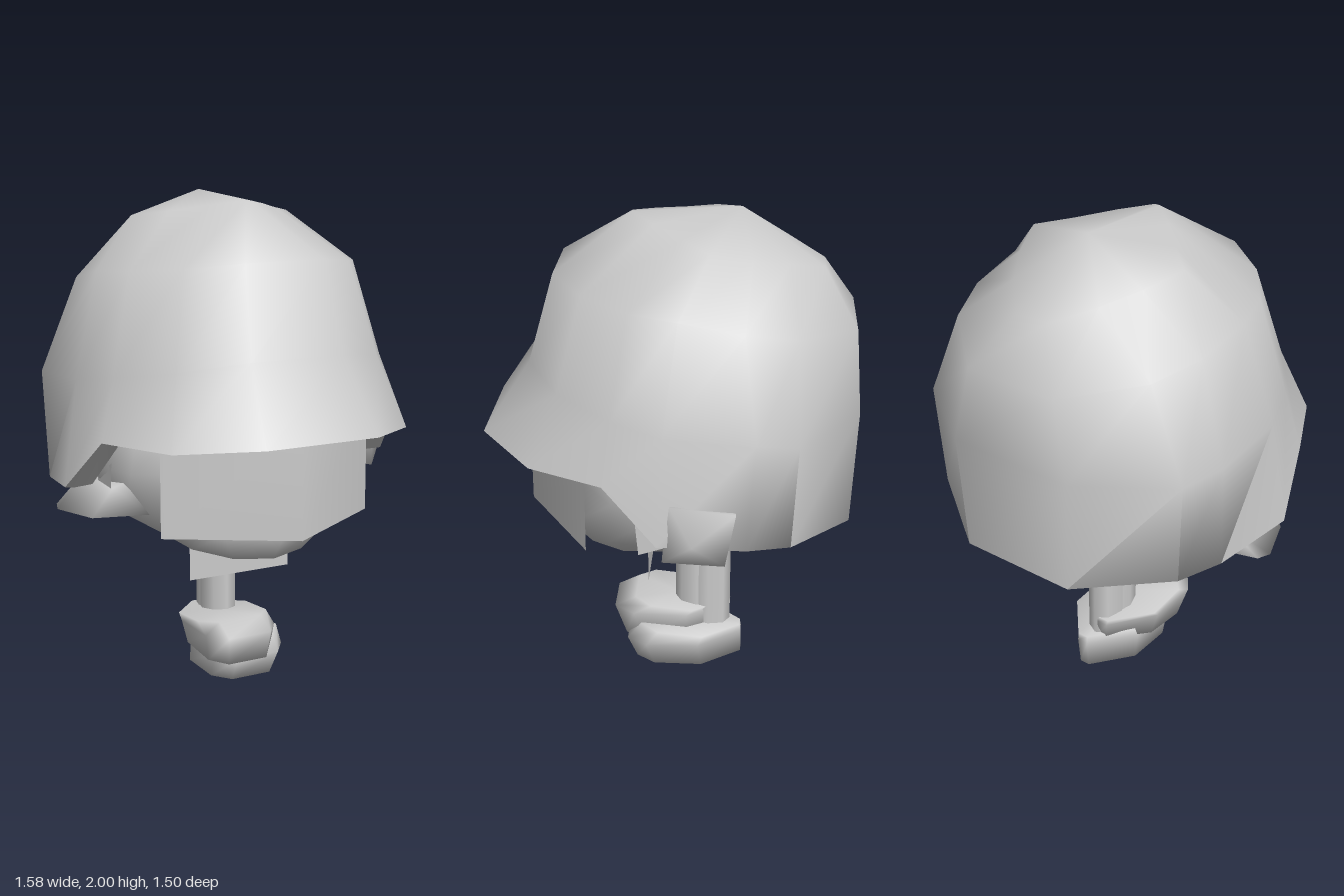
import * as THREE from 'three';
import { toCreasedNormals, mergeVertices } from 'three/addons/utils/BufferGeometryUtils.js';
import { ConvexGeometry } from 'three/addons/geometries/ConvexGeometry.js';

const CX = -0.055; // the body's middle plane
const solid = new THREE.MeshStandardMaterial({ color: 0xcccccc });
const thin = new THREE.MeshStandardMaterial({ color: 0xcccccc, side: THREE.DoubleSide });

// Skins rings of [x, y, z] points, listed bottom to top, and caps them on demand
function loft(rings, bottom, top) {
  const n = rings[0].length, pos = rings.flat(2), index = [];
  for (let i = 0; i < rings.length - 1; i++) {
    for (let j = 0; j < n; j++) {
      const k = (j + 1) % n, a = i * n, b = a + n;
      index.push(a + j, a + k, b + k, a + j, b + k, b + j);
    }
  }
  const cap = (p, start, up) => {
    const c = pos.length / 3;
    pos.push(...p);
    for (let j = 0; j < n; j++) {
      const k = (j + 1) % n;
      if (up) index.push(c, start + j, start + k);
      else index.push(c, start + k, start + j);
    }
  };
  if (bottom) cap(bottom, 0, false);
  if (top) cap(top, (rings.length - 1) * n, true);
  const g = new THREE.BufferGeometry();
  g.setAttribute('position', new THREE.Float32BufferAttribute(pos, 3));
  g.setIndex(index);
  g.computeVertexNormals();
  return g;
}

// Mirrors half a ring, given front to back on +x, into a full loop
const mirrored = (half) => [...half, ...half.slice().reverse().map(([x, ...r]) => [-x, ...r])];

// Head ring from half width, front and back reach, and front, side and back heights
const headRing = ([w, zf, zb, yf, ys, yb]) => Array.from({ length: 12 }, (_, i) => {
  const a = (i / 12) * Math.PI * 2, x = Math.sin(a), z = Math.cos(a);
  return [CX + x * w, ys + Math.abs(z) * ((z > 0 ? yf : yb) - ys), z * (z > 0 ? zf : -zb)];
});

// Smooth convex lump around a few corners
function lump(points) {
  const g = new ConvexGeometry(points.map((p) => new THREE.Vector3(...p)));
  g.deleteAttribute('normal');
  g.deleteAttribute('uv');
  const m = mergeVertices(g, 1e-3);
  m.computeVertexNormals();
  return m;
}

export function createModel() {
  const model = new THREE.Group();
  model.name = 'bobHairedFigure';
  const add = (name, geometry, material = solid) => {
    const mesh = new THREE.Mesh(geometry, material);
    mesh.name = name;
    model.add(mesh);
    return mesh;
  };

  // Hair: half rings from the rim up to the crown
  const rim = [
    [0.24, 1.12, 0.75], [0.515, 1.09, 0.53], [0.665, 1.09, 0.23], [0.735, 0.88, 0.02],
    [0.67, 0.84, -0.32], [0.59, 0.82, -0.49], [0.25, 0.77, -0.73],
  ];
  // The lip turns in, and dips towards the nape
  const lip = rim.map(([x, y, z]) => (z < 0 ? [x * 0.84, y - 0.035, z * 0.67] : [x * 0.84, y, z * 0.84]));
  const hairRows = [
    lip,
    rim,
    [[0.2, 1.41, 0.56], [0.44, 1.37, 0.42], [0.6, 1.33, 0.2], [0.67, 1.3, 0],
      [0.68, 1.28, -0.35], [0.615, 1.25, -0.51], [0.27, 1.25, -0.75]],
    [[0.17, 1.765, 0.46], [0.36, 1.74, 0.33], [0.5, 1.72, 0.14], [0.555, 1.71, -0.05],
      [0.54, 1.66, -0.3], [0.46, 1.62, -0.5], [0.2, 1.57, -0.73]],
    [[0.01, 1.975, 0.16], [0.12, 1.955, 0.07], [0.24, 1.93, -0.05], [0.355, 1.91, -0.16],
      [0.29, 1.87, -0.32], [0.2, 1.83, -0.46], [0.07, 1.78, -0.6]],
  ].map((half) => mirrored(half).map(([x, y, z]) => [CX + x, y, z]));
  add('hair', toCreasedNormals(loft(hairRows, null, [CX, 2, -0.27]), 1.3), thin);

  // Head under the hair
  const headRows = [
    [0.31, 0.38, -0.21, 0.58, 0.63, 0.64],
    [0.47, 0.47, -0.37, 0.71, 0.73, 0.77],
    [0.62, 0.42, -0.58, 0.95, 0.95, 0.95],
    [0.58, 0.42, -0.6, 1.2, 1.2, 1.2],
  ];
  add('head', loft(headRows.map(headRing), [CX, 0.52, 0.06], [CX, 1.3, -0.05]));

  // Face: panel folded along its middle
  const face = new THREE.PlaneGeometry(0.93, 0.44, 2, 1);
  const fp = face.attributes.position;
  for (let i = 0; i < fp.count; i++) {
    fp.setZ(i, 0.6 - 0.28 * Math.abs(fp.getX(i)) / 0.465);
  }
  face.translate(CX, 0.93, 0);
  face.computeVertexNormals();
  add('face', face, thin);

  // Ear flaps below the hairline
  for (const s of [1, -1]) {
    const flap = new THREE.Shape(
      [[0.12, 0.98], [0.1, 0.76], [-0.02, 0.8], [-0.02, 0.9]].map((p) => new THREE.Vector2(...p)));
    const ear = add(s > 0 ? 'leftEar' : 'rightEar', new THREE.ShapeGeometry(flap), thin);
    ear.rotation.y = -Math.PI / 2;
    ear.position.x = CX + s * 0.58;
  }

  // Hands, raised to either side of the head
  add('leftHand', lump([
    [0.79, 0.94, -0.12], [0.67, 1.045, -0.03], [0.65, 1.01, -0.28], [0.64, 0.785, -0.24],
    [0.65, 0.8, 0], [0.5, 0.84, 0], [0.5, 0.84, -0.23], [0.5, 1.0, -0.05], [0.5, 1.0, -0.26],
  ]));
  add('rightHand', lump([
    [-0.79, 0.77, -0.07], [-0.77, 0.775, -0.13], [-0.72, 0.77, 0.12], [-0.5, 0.77, 0.18],
    [-0.5, 0.77, -0.2], [-0.63, 0.88, 0.12], [-0.65, 0.88, -0.15], [-0.5, 0.93, 0.14], [-0.5, 0.93, -0.15],
  ]));

  // Flat collar under the chin
  const collar = add('collar', new THREE.PlaneGeometry(0.46, 0.24), thin);
  collar.position.set(CX, 0.56, 0.09);

  // Two legs pressed together, one slightly ahead
  for (const [name, x, z] of [['leftLeg', CX + 0.005, -0.155], ['rightLeg', CX - 0.005, -0.105]]) {
    const leg = add(name, new THREE.CylinderGeometry(1, 1, 0.55, 8));
    leg.scale.set(0.073, 1, 0.094);
    leg.position.set(x, 0.4, z);
  }

  // Feet: rows of x centre, half width, front z, back z, front y, back y
  const soleHalf = [[0.6, 1], [1, 0.65], [1, -0.25], [0.15, -1]];
  const foot = (name, footRows) => {
    const rings = footRows.map(([x, w, zf, zb, yf, yb]) => mirrored(soleHalf).map(([px, pz]) => {
      const t = (pz + 1) / 2;
      return [x + px * w, yb + (yf - yb) * t, zb + (zf - zb) * t];
    }));
    const centre = (r) => [0, 1, 2].map((k) => r.reduce((sum, p) => sum + p[k], 0) / r.length);
    add(name, loft(rings, centre(rings[0]), centre(rings[rings.length - 1])));
  };
  foot('rightFoot', [
    [-0.075, 0.145, 0.2, -0.23, 0.09, 0.12],
    [-0.09, 0.16, 0.25, -0.25, 0.22, 0.21],
    [-0.09, 0.16, 0.16, -0.24, 0.265, 0.225],
  ]);
  foot('leftFoot', [
    [-0.033, 0.147, 0.15, -0.3, 0, 0],
    [-0.022, 0.16, 0.19, -0.3, 0.1, 0.11],
    [-0.02, 0.16, 0.13, -0.295, 0.175, 0.14],
  ]);
  return model;
}
